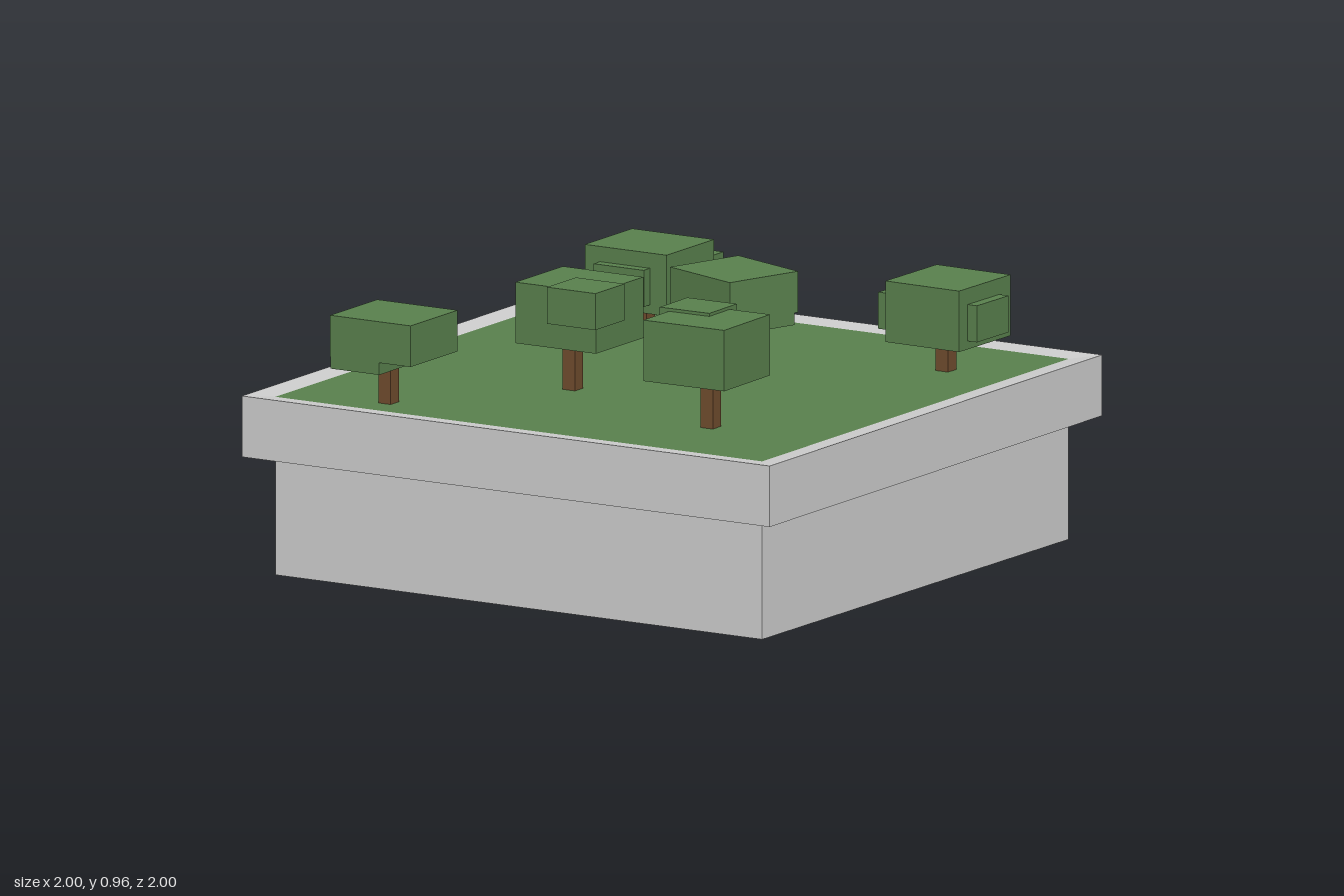
import * as THREE from 'three';

const mat = (color) => new THREE.MeshStandardMaterial({ color, flatShading: true });

export function createModel() {
  const model = new THREE.Group();
  const stone = mat(0xcccccc), green = mat(0x587f4c), bark = mat(0x6e4b2d);

  const add = (parent, name, geometry, material) => {
    const mesh = new THREE.Mesh(geometry, material);
    mesh.name = name;
    parent.add(mesh);
    return mesh;
  };
  const box = (parent, name, size, pos, material) => {
    const mesh = add(parent, name, new THREE.BoxGeometry(...size), material);
    mesh.position.set(...pos);
    return mesh;
  };

  // Foundation block, its underside dipping at the back left corner
  const block = new THREE.BoxGeometry(1.845, 0.4, 1.845).translate(0, 0.2, 0);
  const p = block.attributes.position;
  for (let i = 0; i < p.count; i++) {
    if (p.getY(i) > 0.1) continue;
    const dips = p.getX(i) > 0 && p.getZ(i) < 0;
    p.setY(i, dips ? 0 : 0.008);
  }
  add(model, 'foundation', block, stone);

  // Overhanging square rim, its top sloping slightly in to the lawn
  const profile = [[0.9, 0.4], [1, 0.4], [1, 0.6], [0.922, 0.592]]
    .map(([x, y]) => new THREE.Vector2(x * Math.SQRT2, y));
  add(model, 'rim', new THREE.LatheGeometry(profile, 4, Math.PI / 4), stone);

  // Lawn
  add(model, 'lawn', new THREE.PlaneGeometry(1.844, 1.844).rotateX(-Math.PI / 2), green)
    .position.y = 0.592;

  // Trees: x, z, turn, trunk offset, crown [w, d, bottom, top],
  // foliage clumps [x, z, w, d, bottom, top] relative to the tree
  const trees = [
    { name: 'frontRightTree', x: -0.558, z: 0.787, turn: 0, trunk: [-0.012, 0.013],
      crown: [0.305, 0.283, 0.75, 0.885], clumps: [[-0.06, 0.058, 0.184, 0.165, 0.71, 0.83]] },
    { name: 'backRightTree', x: -0.427, z: -0.542, turn: 0, trunk: [-0.018, 0],
      crown: [0.31, 0.285, 0.69, 0.89],
      clumps: [[0.04, -0.15, 0.186, 0.17, 0.71, 0.83], [-0.003, 0.095, 0.19, 0.17, 0.72, 0.84]] },
    { name: 'backLeftTree', x: 0.674, z: -0.59, turn: -0.02, trunk: [0.006, 0.02],
      crown: [0.283, 0.3, 0.69, 0.89],
      clumps: [[-0.148, -0.04, 0.17, 0.185, 0.705, 0.825], [0.092, 0.007, 0.17, 0.185, 0.717, 0.837]] },
    { name: 'middleTree', x: 0.06, z: -0.278, turn: -0.335, trunk: [0.007, 0.002],
      crown: [0.307, 0.28, 0.77, 0.905], clumps: [[0.06, -0.045, 0.184, 0.165, 0.73, 0.85]] },
    { name: 'centreFrontTree', x: -0.163, z: 0.298, turn: 0, trunk: [-0.018, 0.012],
      crown: [0.305, 0.285, 0.75, 0.95], clumps: [[0.09, 0.105, 0.184, 0.175, 0.84, 0.96]] },
    { name: 'frontLeftTree', x: 0.488, z: 0.566, turn: 0.018, trunk: [0.015, 0],
      crown: [0.303, 0.284, 0.75, 0.95], clumps: [[-0.092, -0.1, 0.186, 0.17, 0.84, 0.96]] },
  ];
  for (const { name, x, z, turn, trunk, crown, clumps } of trees) {
    const tree = new THREE.Group();
    tree.name = name;
    tree.position.set(x, 0, z);
    tree.rotation.y = turn;
    model.add(tree);
    const [w, d, y0, y1] = crown;
    box(tree, 'trunk', [0.047, 0.19, 0.05], [trunk[0], 0.685, trunk[1]], bark);
    box(tree, 'crown', [w, y1 - y0, d], [0, (y0 + y1) / 2, 0], green);
    for (const [cx, cz, cw, cd, c0, c1] of clumps) {
      box(tree, 'foliageClump', [cw, c1 - c0, cd], [cx, (c0 + c1) / 2, cz], green);
    }
  }
  return model;
}
